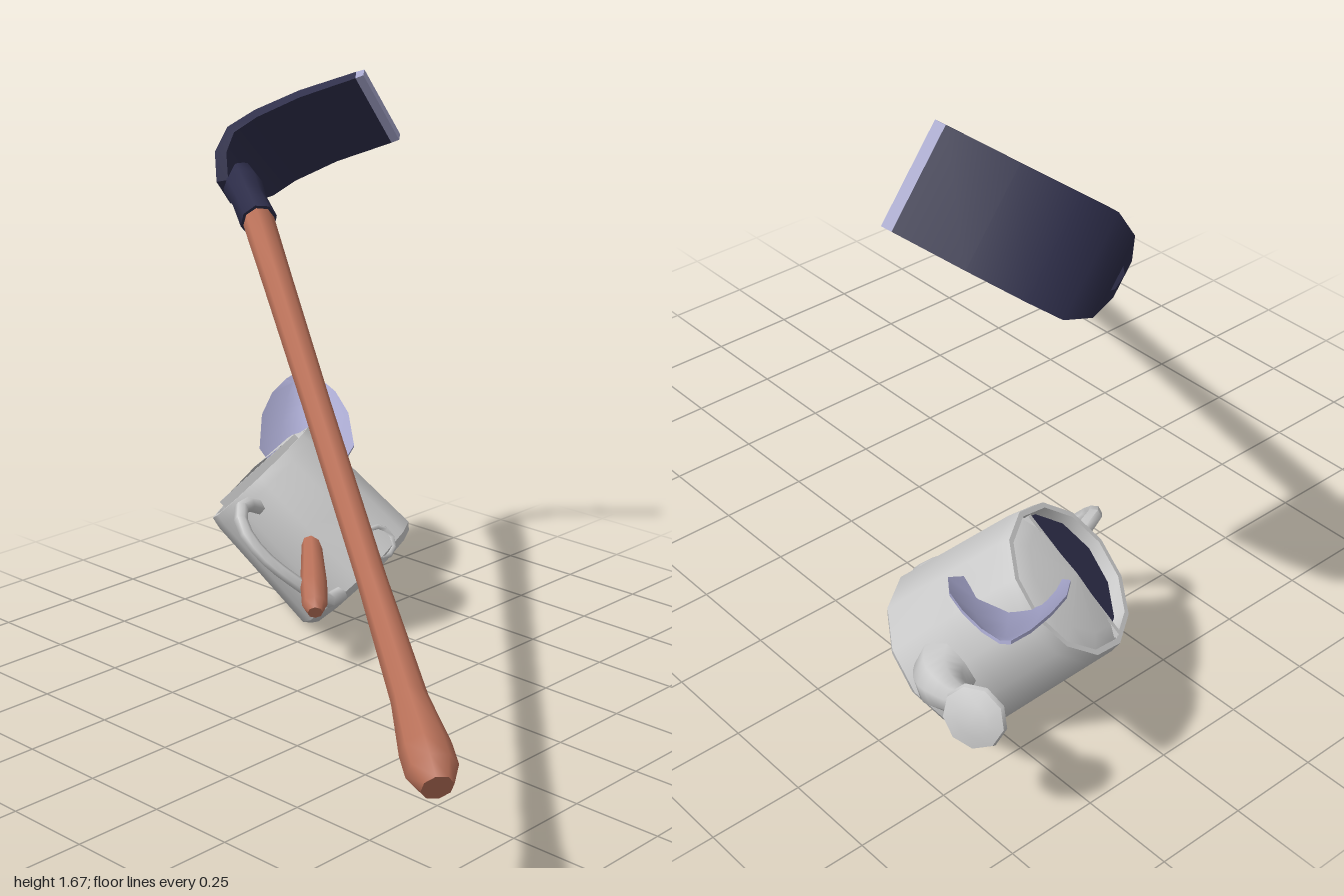
import * as THREE from 'three';
import { toCreasedNormals } from 'three/addons/utils/BufferGeometryUtils.js';

const V = (x, y, z) => new THREE.Vector3(x, y, z);
const mat = (color) => new THREE.MeshStandardMaterial({ color });
const GREY = mat(0xcccccc), WOOD = mat(0xb87058), DARK = mat(0x2c2c48), STEEL = mat(0xa6a6cc);
const UP = V(0, 1, 0);

function mesh(name, geometry, material) {
  const m = new THREE.Mesh(geometry, material);
  m.name = name;
  return m;
}

const lathe = (profile, sides, start = 0, length = Math.PI * 2) =>
  new THREE.LatheGeometry(profile.map(([r, y]) => new THREE.Vector2(r, y)), sides, start, length);

// Turned part between two points; profile rows are [radius, fraction of the length]
function turned(name, from, to, profile, sides, material) {
  const axis = to.clone().sub(from), len = axis.length();
  const geo = lathe(profile.map(([r, t]) => [r, t * len]), sides);
  const m = mesh(name, toCreasedNormals(geo, 0.9), material);
  m.position.copy(from);
  m.quaternion.setFromUnitVectors(UP, axis.normalize());
  return m;
}

// Tube along a curve whose radius follows a list of values
function taperedTube(name, points, radii, sides, material) {
  const curve = new THREE.CatmullRomCurve3(points), seg = 14;
  const geo = new THREE.TubeGeometry(curve, seg, 1, sides, false);
  const pos = geo.attributes.position, p = V(0, 0, 0);
  for (let i = 0; i < pos.count; i++) {
    const t = Math.floor(i / (sides + 1)) / seg;
    const f = t * (radii.length - 1), k = Math.min(Math.floor(f), radii.length - 2);
    const r = THREE.MathUtils.lerp(radii[k], radii[k + 1], f - k);
    const c = curve.getPointAt(t);
    p.fromBufferAttribute(pos, i).sub(c).multiplyScalar(r).add(c);
    pos.setXYZ(i, p.x, p.y, p.z);
  }
  geo.computeVertexNormals();
  return mesh(name, toCreasedNormals(geo, 1.1), material);
}

// Closed skin over rings of points, capped at both ends with strips
function loft(name, rings, material) {
  const n = rings[0].length, index = [];
  for (let i = 0; i < rings.length - 1; i++) {
    for (let j = 0; j < n; j++) {
      const a = i * n + j, b = i * n + (j + 1) % n;
      index.push(a, b, b + n, a, b + n, a + n);
    }
  }
  const last = (rings.length - 1) * n;
  for (let j = 0; j < n / 2 - 1; j++) {
    const a = j, b = j + 1, c = n - 2 - j, d = n - 1 - j;
    index.push(a, c, b, a, d, c);
    index.push(last + a, last + b, last + c, last + a, last + c, last + d);
  }
  const geo = new THREE.BufferGeometry().setFromPoints(rings.flat());
  geo.setIndex(index);
  return mesh(name, toCreasedNormals(geo, 0.6), material);
}

function createHoe() {
  const g = new THREE.Group();
  g.name = 'hoe';
  const wide = V(0.6, -0.8, 0);
  // Point in the plane of the blade's curve, moved sideways by w
  const at = (u, z, w = 0) => V(0.8 * u, 0.6 * u, z).addScaledVector(wide, w - 0.88);

  g.add(turned('hoeHandle', V(-0.805, 0.435, 0.985), at(0.975, -0.65), [
    [0, 0], [0.038, 0], [0.06, 0.022], [0.06, 0.05], [0.043, 0.12],
    [0.036, 0.3], [0.037, 0.6], [0.042, 0.85], [0.046, 1], [0, 1],
  ], 8, WOOD));
  g.add(turned('hoeCollar', at(0.955, -0.625), at(1.1, -0.83), [
    [0, 0], [0.054, 0], [0.05, 0.45], [0.058, 0.75], [0.05, 1], [0, 1],
  ], 8, DARK));

  // Blade sections: u, z, half width, thickness
  const rows = [
    [1.03, -0.835, 0.045, 0.04], [1.095, -0.86, 0.1, 0.045], [1.17, -0.85, 0.13, 0.045],
    [1.25, -0.8, 0.13, 0.04], [1.35, -0.695, 0.129, 0.035], [1.45, -0.545, 0.128, 0.03],
    [1.463, -0.522, 0.128, 0.026],
  ];
  const rings = rows.map(([u, z, hw, th], i) => {
    const a = rows[Math.max(i - 1, 0)], b = rows[Math.min(i + 1, rows.length - 1)];
    const back = at(b[0], b[1]).sub(at(a[0], a[1])).normalize().cross(wide);
    const inner = (w) => at(u, z, w).addScaledVector(back, -th);
    return [inner(-hw), inner(hw), at(u, z, hw), at(u, z, -hw)];
  });
  g.add(loft('hoeBlade', rings.slice(0, -1), DARK));
  g.add(loft('hoeCuttingEdge', rings.slice(-2), STEEL));
  return g;
}

function createTrowel() {
  const g = new THREE.Group();
  g.name = 'trowel';
  const start = V(0.115, 0.205, -0.29), tip = V(0.765, 0.655, -0.985);
  const dir = tip.clone().sub(start);
  const at = (t) => start.clone().addScaledVector(dir, t);
  const unit = dir.clone().normalize();
  const wide = V(0.73, 0, 0.68).normalize();
  const down = unit.clone().cross(wide).normalize();

  g.add(turned('trowelHandle', at(0), at(0.36), [
    [0, 0], [0.022, 0], [0.037, 0.08], [0.039, 0.3], [0.03, 0.7], [0.026, 1], [0, 1],
  ], 8, WOOD));
  g.add(turned('trowelShank', at(0.35), at(0.64), [[0.014, 0], [0.014, 1]], 8, STEEL));

  // Scooped blade: position along the tool, half width, edge lift
  const rows = [[0.56, 0.11, 0.05], [0.62, 0.145, 0.07], [0.76, 0.135, 0.07],
    [0.87, 0.1, 0.05], [0.95, 0.055, 0.02], [1, 0.012, 0]];
  const steps = [-1, -0.55, 0, 0.55, 1];
  g.add(loft('trowelBlade', rows.map(([t, hw, lift]) => {
    const point = (s, th) => at(t).addScaledVector(wide, s * hw)
      .addScaledVector(down, 0.4 * lift - lift * s * s + th);
    return [...steps.map((s) => point(s, 0)), ...[...steps].reverse().map((s) => point(s, 0.008))];
  }), STEEL));
  return g;
}

function createWateringCan() {
  const g = new THREE.Group();
  g.name = 'wateringCan';

  // Tilted body; its own x points to the spout and its y to the opening
  const body = new THREE.Group();
  body.name = 'canBody';
  const axis = V(-0.36, 0.71, -0.61).normalize();
  const side = V(0.91, 0.12, -0.4);
  side.addScaledVector(axis, -side.dot(axis)).normalize();
  body.quaternion.setFromRotationMatrix(
    new THREE.Matrix4().makeBasis(side, axis, side.clone().cross(axis)));
  body.position.set(0.425, 0.31, -0.615);
  body.add(mesh('canWall', toCreasedNormals(lathe([
    [0, -0.205], [0.19, -0.205], [0.205, -0.22], [0.222, -0.2], [0.214, 0], [0.207, 0.185],
    [0.2, 0.22], [0.186, 0.22], [0.184, 0.17],
  ], 12), 0.7), GREY));
  body.add(mesh('canInside', lathe([[0.19, 0.185], [0, 0.185]], 12), DARK));
  // Half lid on the spout side, with its straight front lip
  const lid = lathe([[0.2, 0.21], [0.15, 0.236], [0, 0.245]], 6, 0, Math.PI);
  const lidMat = GREY.clone();
  lidMat.side = THREE.DoubleSide;
  body.add(mesh('halfLid', lid, lidMat));
  const lip = mesh('lidLip', new THREE.BoxGeometry(0.012, 0.05, 0.36), GREY);
  lip.position.set(0, 0.212, 0);
  body.add(lip);
  g.add(body);

  // Loop handle
  g.add(taperedTube('canHandle', [
    V(0.25, 0.405, -0.615), V(0.13, 0.45, -0.6), V(0.08, 0.415, -0.55), V(0.09, 0.34, -0.48),
    V(0.16, 0.25, -0.4), V(0.24, 0.185, -0.365), V(0.34, 0.175, -0.4),
  ], [0.026, 0.02, 0.02, 0.02, 0.026], 6, GREY));

  // Spout with its sprinkler head
  g.add(taperedTube('spout', [
    V(0.58, 0.25, -0.6), V(0.68, 0.275, -0.665), V(0.725, 0.32, -0.765),
    V(0.75, 0.375, -0.85), V(0.78, 0.395, -0.9),
  ], [0.1, 0.075, 0.045, 0.032, 0.026], 8, GREY));
  const head = V(0.8, 0.405, -0.918), facing = V(0.85, 0.25, -0.4).normalize();
  g.add(turned('sprinklerHead', head.clone().addScaledVector(facing, -0.055), head, [
    [0.022, 0], [0.042, 0.35], [0.08, 0.8], [0.076, 1], [0.04, 1.2], [0, 1.25],
  ], 9, GREY));

  // Small ring set into the front of the wall
  const ring = mesh('wallRing', new THREE.TorusGeometry(0.047, 0.011, 5, 10), GREY);
  ring.position.set(0.45, 0.315, -0.352);
  ring.quaternion.setFromUnitVectors(V(0, 0, 1), V(-0.15, 0.59, 0.79).normalize());
  g.add(ring);
  return g;
}

export function createModel() {
  const model = new THREE.Group();
  model.name = 'gardenTools';
  model.add(createHoe(), createTrowel(), createWateringCan());
  return model;
}
